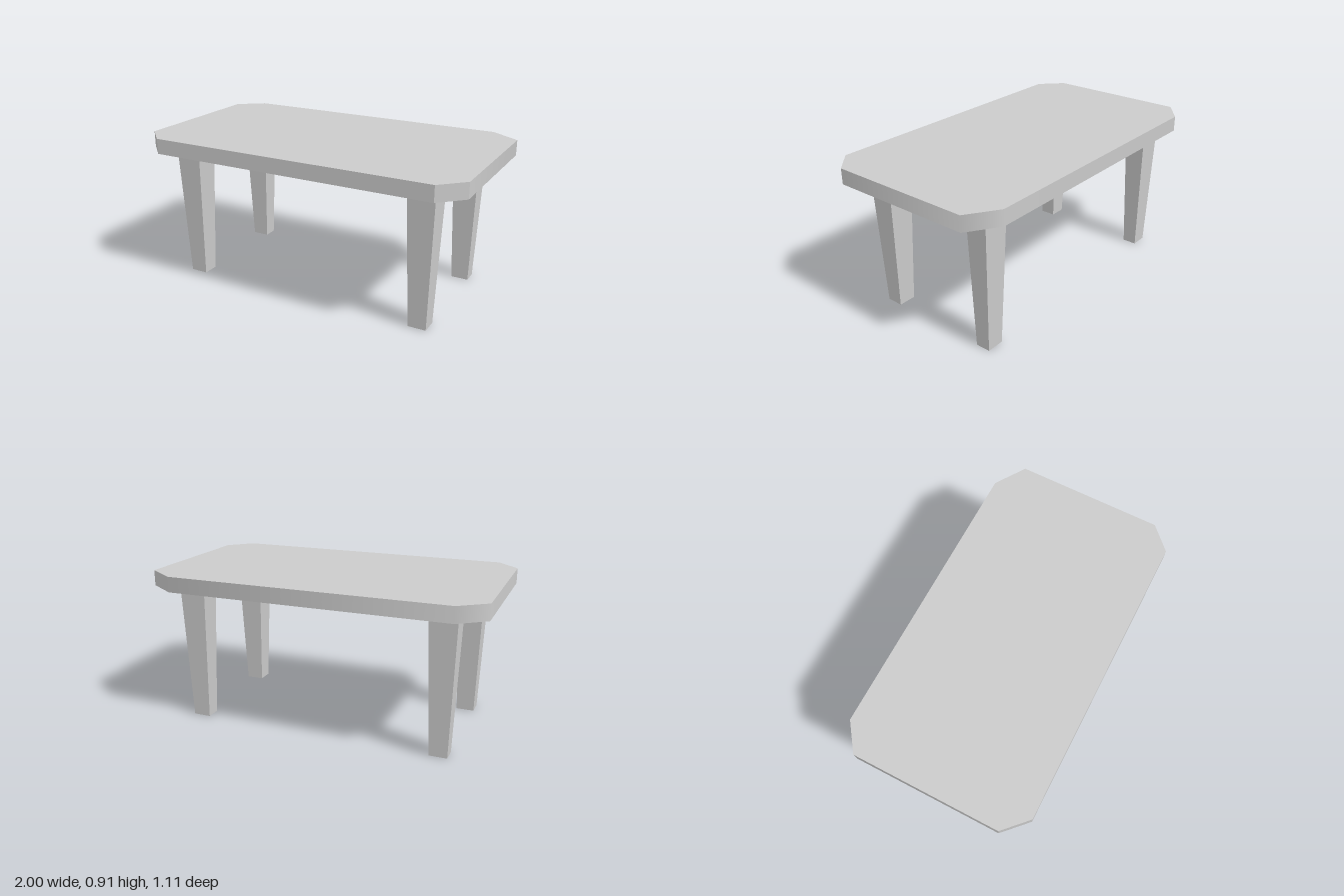
import * as THREE from 'three';

const material = new THREE.MeshStandardMaterial({ color: 0xcccccc });
const TOP = 0.907, UNDER = 0.815;

// Tabletop outline as [x, z], with clipped corners
const outline = [
  [-0.868, 0.553], [0.868, 0.553], [1, 0.425], [1, -0.437],
  [0.825, -0.553], [-0.845, -0.553], [-1, -0.437], [-1, 0.425],
].map(([x, z]) => new THREE.Vector2(x, z));

// Outward normal of the rim between corner i and the next one
function rimNormal(i) {
  const n = outline.length;
  const d = outline[(i + 1) % n].clone().sub(outline[(i + n) % n]).normalize();
  return new THREE.Vector3(-d.y, 0, d.x);
}

function createTabletop() {
  const geometry = new THREE.ExtrudeGeometry(new THREE.Shape(outline), {
    depth: TOP - UNDER, bevelEnabled: false,
  });
  geometry.rotateX(Math.PI / 2).translate(0, TOP, 0);

  // Rim is sharp at the front corners and smoothly shaded at the back ones
  const { position, normal } = geometry.attributes;
  for (let v = 0; v < position.count; v++) {
    if (Math.abs(normal.getY(v)) > 0.5 || position.getZ(v) > 0) continue;
    const p = new THREE.Vector2(position.getX(v), position.getZ(v));
    const i = outline.findIndex((c) => c.distanceTo(p) < 1e-4);
    const a = rimNormal(i), b = rimNormal((i + outline.length - 1) % outline.length);
    a.add(b).normalize();
    if (a.dot(new THREE.Vector3(p.x, 0, p.y)) < 0) a.negate();
    normal.setXYZ(v, a.x, a.y, a.z);
  }
  const mesh = new THREE.Mesh(geometry, material);
  mesh.name = 'tabletop';
  return mesh;
}

// Square leg that narrows toward the floor
function createLeg(name, x, z, width, depth) {
  const geometry = new THREE.BoxGeometry(width, UNDER, depth);
  const p = geometry.attributes.position;
  for (let v = 0; v < p.count; v++) {
    if (p.getY(v) < 0) p.setXYZ(v, p.getX(v) * 0.66, p.getY(v), p.getZ(v) * 0.66);
  }
  geometry.translate(x, UNDER / 2, z);
  const leg = new THREE.Mesh(geometry.toNonIndexed(), material);
  leg.geometry.computeVertexNormals();
  leg.name = name;
  return leg;
}

export function createModel() {
  const table = new THREE.Group();
  table.name = 'table';
  table.add(createTabletop());
  for (const [side, x] of [['Left', 0.745], ['Right', -0.762]]) {
    table.add(createLeg('front' + side + 'Leg', x, 0.333, 0.162, 0.15));
    table.add(createLeg('back' + side + 'Leg', x, -0.368, 0.16, 0.132));
  }
  return table;
}
